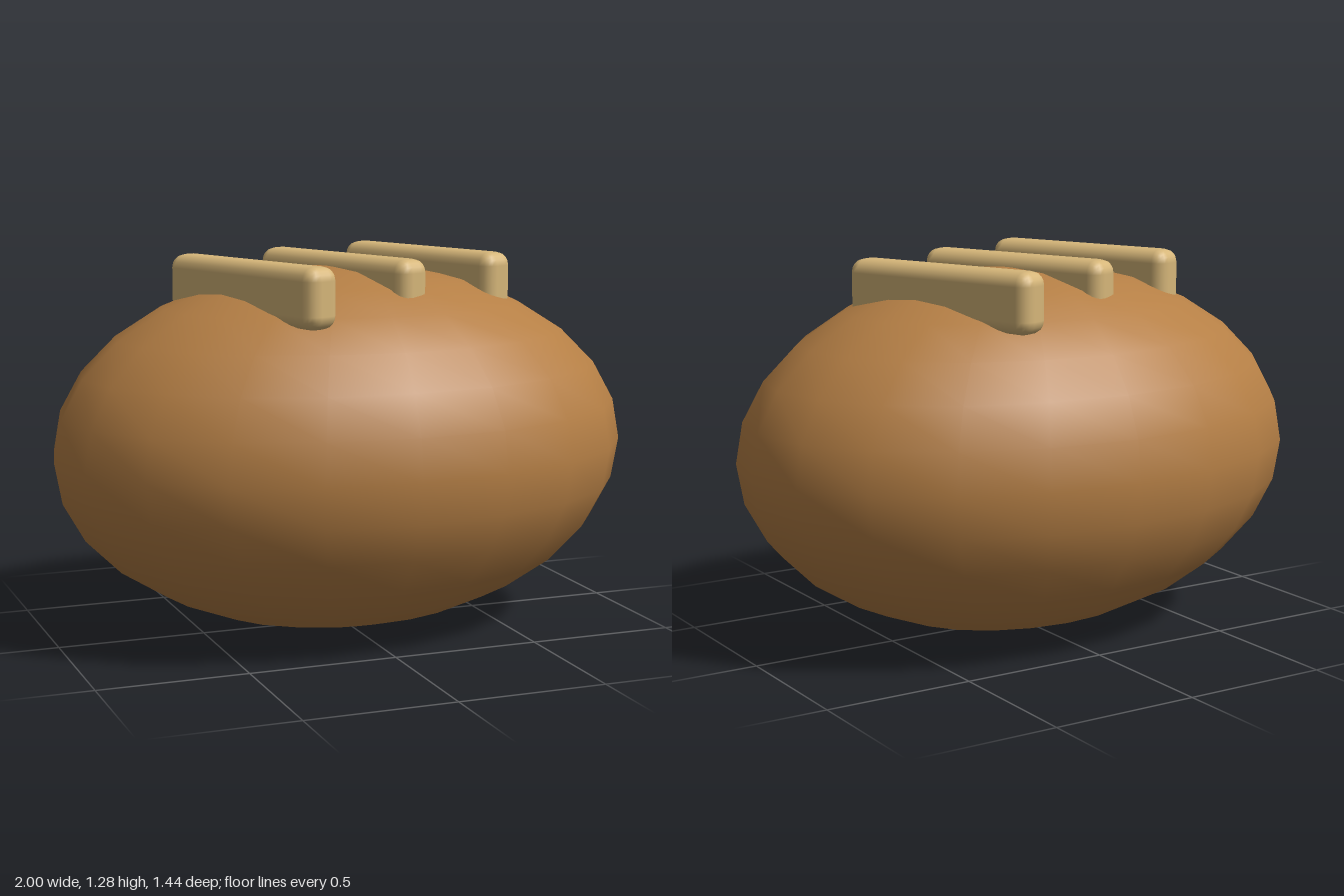
import * as THREE from 'three';
import { RoundedBoxGeometry } from 'three/addons/geometries/RoundedBoxGeometry.js';

export function createModel() {
  const model = new THREE.Group();
  model.name = 'breadLoaf';

  const crust = new THREE.MeshStandardMaterial({ color: 0xb57f45 });
  const crumb = new THREE.MeshStandardMaterial({ color: 0xd6b679 });

  // Loaf: a squashed low-poly sphere with smooth normals
  const loaf = new THREE.Mesh(new THREE.SphereGeometry(1, 20, 14), crust);
  loaf.name = 'loaf';
  loaf.scale.set(1, 0.62, 0.72);
  loaf.position.y = 0.62;
  model.add(loaf);

  // Three slanted score strips sunk into the top
  const stripGeometry = new RoundedBoxGeometry(0.125, 0.2, 0.73, 2, 0.045);
  for (const i of [-1, 0, 1]) {
    const strip = new THREE.Mesh(stripGeometry, crumb);
    strip.name = ['rightScore', 'middleScore', 'leftScore'][i + 1];
    strip.position.set(i * 0.37, 1.176, -i * 0.15);
    strip.rotation.y = 0.38;
    model.add(strip);
  }

  return model;
}
